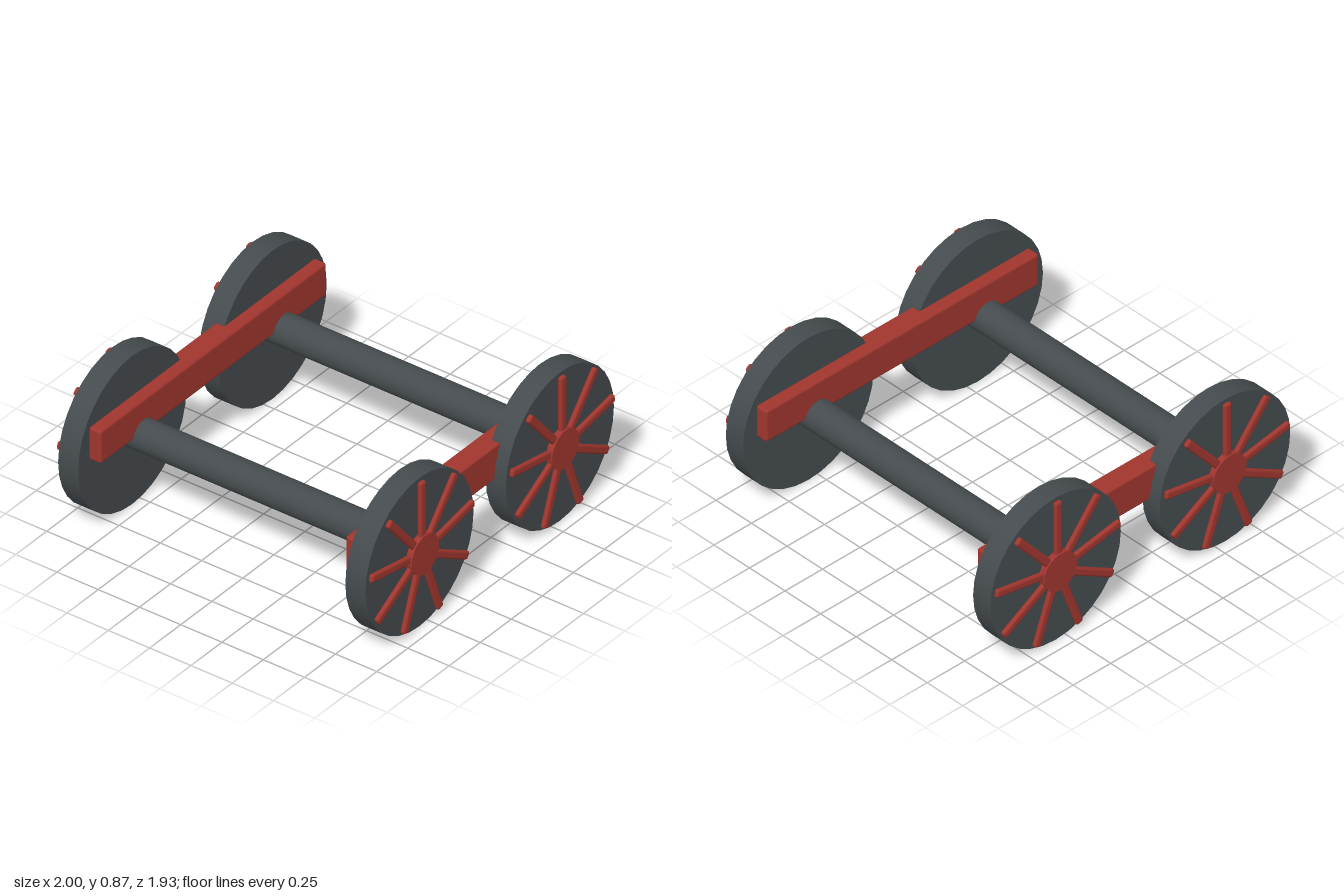
import * as THREE from 'three';
import { RoundedBoxGeometry } from 'three/addons/geometries/RoundedBoxGeometry.js';

const iron = new THREE.MeshStandardMaterial({ color: 0x454b4e });
iron.name = 'darkIron';
const red = new THREE.MeshStandardMaterial({ color: 0xa0362e });
red.name = 'redPaint';

const WHEEL_X = 0.565, WHEEL_R = 0.435, SPOKES = 9;

function add(parent, name, geometry, material, x = 0, y = 0, z = 0) {
  const mesh = new THREE.Mesh(geometry, material);
  mesh.name = name;
  mesh.position.set(x, y, z);
  parent.add(mesh);
  return mesh;
}

// Cylinder lying along z
function disc(radius, length, sides) {
  return new THREE.CylinderGeometry(radius, radius, length, sides).rotateX(Math.PI / 2);
}

// Wheel centred on its axle, outer face towards +z
function createWheel() {
  const wheel = new THREE.Group();
  wheel.name = 'wheel';
  add(wheel, 'wheelDisc', disc(WHEEL_R, 0.122, 32), iron, 0, 0, 0.87);
  add(wheel, 'hub', disc(0.11, 0.042, 32), red, 0, 0, 0.946);
  const spoke = new RoundedBoxGeometry(0.046, 0.38, 0.028, 3, 0.013).translate(0, 0.23, 0);
  for (let i = 0; i < SPOKES; i++) {
    add(wheel, 'spoke', spoke, red, 0, 0, 0.945).rotation.z = (i / SPOKES) * Math.PI * 2;
  }
  return wheel;
}

// One side of the truck: two wheels, side beam and centre block
function createSide() {
  const side = new THREE.Group();
  side.name = 'side';
  for (const s of [-1, 1]) {
    const wheel = createWheel();
    wheel.position.set(s * WHEEL_X, WHEEL_R, 0);
    side.add(wheel);
  }
  add(side, 'sideBeam', new RoundedBoxGeometry(1.82, 0.192, 0.076, 3, 0.015), red, 0, 0.543, 0.778);
  add(side, 'centreBlock', new RoundedBoxGeometry(0.36, 0.192, 0.08, 3, 0.01), red, 0, 0.543, 0.82);
  return side;
}

export function createModel() {
  const model = new THREE.Group();
  model.name = 'wheelTruck';
  const front = createSide();
  const back = createSide();
  back.rotation.y = Math.PI;
  model.add(front, back);

  // Axles joining opposite wheels
  for (const s of [-1, 1]) {
    add(model, 'axle', disc(0.087, 1.66, 32), iron, s * WHEEL_X, 0.437, 0);
  }
  return model;
}
